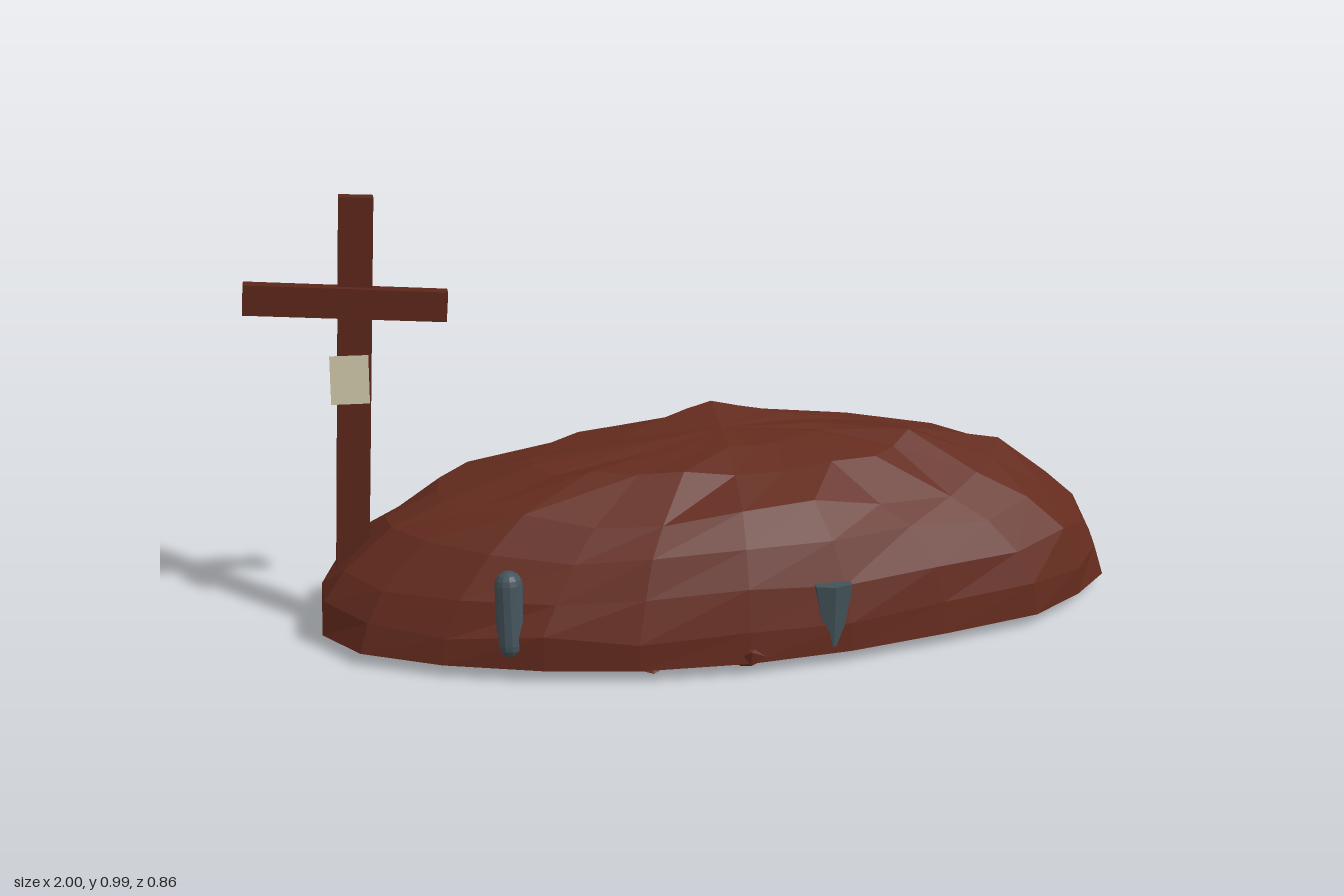
import * as THREE from 'three';

const mat = (color, extra = {}) => new THREE.MeshStandardMaterial({ color, flatShading: true, ...extra });

// Small seeded generator, returns -1..1
function seeded(seed) {
  let s = seed;
  return () => {
    s = (s * 16807) % 2147483647;
    return (s / 2147483647) * 2 - 1;
  };
}

function add(parent, name, geometry, material, x, y, z) {
  const mesh = new THREE.Mesh(geometry, material);
  mesh.name = name;
  mesh.position.set(x, y, z);
  parent.add(mesh);
  return mesh;
}

// Oval footprint [x, z], from the +x end round by the front
const FOOTPRINT = [
  [0.975, 0], [0.945, 0.11], [0.845, 0.21], [0.71, 0.3], [0.48, 0.355], [0.25, 0.4], [0.02, 0.42],
  [-0.22, 0.41], [-0.42, 0.37], [-0.63, 0.3], [-0.8, 0.21], [-0.88, 0.1],
  [-0.88, 0], [-0.85, -0.11], [-0.75, -0.21], [-0.6, -0.29], [-0.42, -0.345], [-0.2, -0.4], [0.03, -0.43],
  [0.27, -0.4], [0.5, -0.36], [0.72, -0.29], [0.83, -0.21], [0.945, -0.1],
];
// Dome profile [share of footprint, height]
const PROFILE = [[1, 0.03], [0.985, 0.1], [0.93, 0.18], [0.84, 0.255], [0.71, 0.325], [0.48, 0.385], [0.25, 0.41]];

function moundGeometry() {
  const rand = seeded(4711);
  const n = FOOTPRINT.length, cx = 0.04;
  const pos = [], index = [];
  PROFILE.forEach(([share, height], k) => {
    const rough = k === 0 ? 0 : k === 6 ? 0.004 : 0.014;
    FOOTPRINT.forEach(([x, z], j) => {
      const s = share * (1 + (k > 0 ? rand() * 0.022 : 0));
      let y = height + rand() * rough;
      if (k > 3) y += 0.02 * (x - cx) * share; // fuller towards the +x end
      if (k === 6 && j >= 15 && j <= 21) y += 0.043 - 0.012 * Math.abs(j - 18); // crest behind the top
      if (k === 4 && (j === 3 || j === 4)) y -= 0.025; // hollow near the far end
      pos.push(cx + (x - cx) * s, y, z * s);
    });
  });
  const apex = pos.length / 3;
  pos.push(cx, 0.422, 0, cx, 0.03, 0);
  for (let j = 0; j < n; j++) {
    const j2 = (j + 1) % n;
    for (let k = 0; k < PROFILE.length - 1; k++) {
      const a = k * n + j, b = k * n + j2;
      index.push(a, a + n, b, b, a + n, b + n);
    }
    const top = (PROFILE.length - 1) * n;
    index.push(top + j, apex, top + j2);
    index.push(apex + 1, j, j2);
  }
  const g = new THREE.BufferGeometry();
  g.setAttribute('position', new THREE.Float32BufferAttribute(pos, 3));
  g.setIndex(index);
  const flat = g.toNonIndexed();
  flat.computeVertexNormals();
  return flat;
}

// Jagged lump: an icosahedron whose corners move in or out
function clodGeometry(seed, sx, sy, sz) {
  const g = new THREE.IcosahedronGeometry(1, 0);
  const p = g.attributes.position, rand = seeded(seed), moved = new Map();
  rand();
  for (let i = 0; i < p.count; i++) {
    const key = [p.getX(i), p.getY(i), p.getZ(i)].map(v => v.toFixed(2)).join();
    if (!moved.has(key)) moved.set(key, 1 + rand() * 0.22);
    const f = moved.get(key);
    p.setXYZ(i, p.getX(i) * f * sx, p.getY(i) * f * sy, p.getZ(i) * f * sz);
  }
  g.computeVertexNormals();
  return g;
}

export function createModel() {
  const model = new THREE.Group();
  model.name = 'burialMound';
  const earth = mat(0x642b1e), wood = mat(0x5b261a), slate = mat(0x43525a);
  const paper = mat(0xd0c8aa, { side: THREE.DoubleSide });

  add(model, 'mound', moundGeometry(), earth, 0, 0, 0);

  // Loose clods round the foot: x, y, z, half sizes
  [
    [0.925, 0.056, -0.212, 0.08, 0.037, 0.064], [0.835, 0.06, -0.235, 0.06, 0.034, 0.048],
    [-0.195, 0.035, -0.4, 0.025, 0.027, 0.036], [0.02, 0.04, 0.4, 0.04, 0.03, 0.025],
    [-0.19, 0.035, 0.355, 0.065, 0.02, 0.055], [0.2, 0.035, 0.35, 0.08, 0.02, 0.045],
    [0.85, 0.035, -0.14, 0.07, 0.018, 0.04], [0.15, 0.035, -0.37, 0.06, 0.02, 0.05],
  ].forEach(([x, y, z, sx, sy, sz], i) => add(model, 'clod', clodGeometry(100003 + i * 977131, sx, sy, sz), earth, x, y, z));

  // Leaning wooden cross
  const cross = new THREE.Group();
  cross.name = 'cross';
  model.add(cross);
  add(cross, 'post', new THREE.BoxGeometry(0.073, 0.991, 0.034), wood, -0.783, 0.498, 0.003).rotation.z = -0.064;
  add(cross, 'crossbar', new THREE.BoxGeometry(0.43, 0.066, 0.034), wood, -0.785, 0.767, 0.02).rotation.z = -0.088;
  add(cross, 'note', new THREE.PlaneGeometry(0.083, 0.11), paper, -0.787, 0.595, 0.03).rotation.z = -0.02;

  // Half-buried slate pieces on the front slope
  const peg = add(model, 'roundShard', new THREE.CapsuleGeometry(0.03, 0.13, 4, 12), slate, -0.483, 0.145, 0.318);
  peg.rotation.x = -0.15;
  const shard = add(model, 'flatShard', new THREE.CylinderGeometry(0.046, 0.02, 0.14, 6), slate, 0.207, 0.115, 0.39);
  shard.scale.z = 0.5;
  shard.rotation.x = -0.06;

  return model;
}
